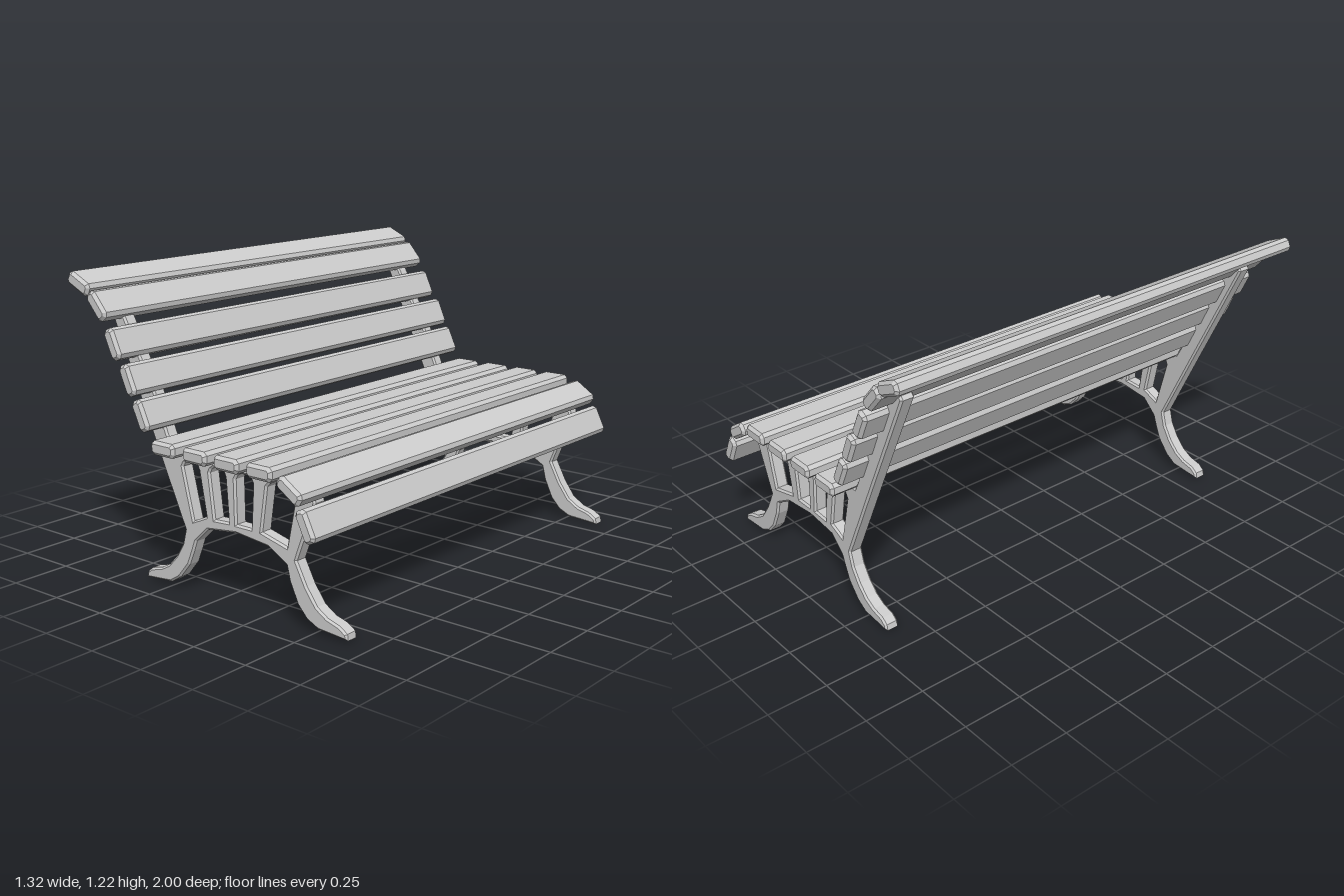
import * as THREE from 'three';

const material = new THREE.MeshStandardMaterial({ color: 0xcccccc, flatShading: true });
const toPoints = (list) => list.map(([x, y]) => new THREE.Vector2(x, y));

// Extrudes a shape along z, centred, with a chamfer kept inside the outline
function chamferedExtrude(shape, depth, chamfer) {
  const geometry = new THREE.ExtrudeGeometry(shape, {
    depth: depth - 2 * chamfer,
    bevelEnabled: true,
    bevelThickness: chamfer,
    bevelSize: chamfer,
    bevelOffset: -chamfer,
    bevelSegments: 1,
  });
  geometry.translate(0, 0, -depth / 2 + chamfer);
  return geometry;
}

// Plank running along z with all edges cut
function slatGeometry() {
  const w = 0.0625, t = 0.028, c = 0.014;
  const shape = new THREE.Shape(toPoints([
    [-w + c, -t], [w - c, -t], [w, -t + c], [w, t - c],
    [w - c, t], [-w + c, t], [-w, t - c], [-w, -t + c],
  ]));
  return chamferedExtrude(shape, 2, 0.012);
}

// Arched opening between the uprights: top left/right x, bottom left/right corners
function opening(tl, tr, bl, br) {
  const top = 0.522, side = 0.497, r = (tr - tl) * 0.27;
  return new THREE.Path(toPoints([
    bl, [tl, side], [tl + r * 0.35, top - 0.01], [tl + r, top],
    [tr - r, top], [tr - r * 0.35, top - 0.01], [tr, side], br,
  ]));
}

// Cast side frame: back stile, curved legs and arched openings
function frameGeometry() {
  const shape = new THREE.Shape(toPoints([
    // back edge of the stile
    [-0.525, 1.085], [-0.537, 1.07], [-0.312, 0.59], [-0.153, 0.247],
    // rear leg
    [-0.17, 0.185], [-0.206, 0.128], [-0.249, 0.083], [-0.295, 0.058], [-0.35, 0.045],
    [-0.375, 0.025], [-0.38, 0], [-0.24, 0.012], [-0.19, 0.043], [-0.136, 0.107],
    [-0.11, 0.167], [-0.094, 0.21],
    // lower arch
    [-0.03, 0.27], [0.118, 0.287], [0.28, 0.27], [0.368, 0.22],
    // front leg
    [0.383, 0.16], [0.421, 0.08], [0.464, 0.034], [0.517, 0.009], [0.655, 0],
    [0.652, 0.025], [0.617, 0.047], [0.563, 0.062], [0.513, 0.093], [0.464, 0.16],
    [0.418, 0.247], [0.51, 0.48], [0.5, 0.513], [0.435, 0.567],
    // seat rail and front edge of the stile
    [-0.213, 0.567], [-0.235, 0.61], [-0.3, 0.765], [-0.378, 0.9], [-0.455, 1.04], [-0.49, 1.085],
  ]));
  shape.holes.push(
    opening(-0.155, -0.07, [-0.104, 0.29], [-0.037, 0.32]),
    opening(-0.013, 0.068, [0.009, 0.318], [0.08, 0.322]),
    opening(0.12, 0.208, [0.122, 0.322], [0.196, 0.322]),
    opening(0.278, 0.418, [0.25, 0.32], [0.372, 0.29]),
  );
  return chamferedExtrude(shape, 0.06, 0.008);
}

export function createModel() {
  const bench = new THREE.Group();
  bench.name = 'bench';

  const frame = frameGeometry();
  for (const side of [1, -1]) {
    const mesh = new THREE.Mesh(frame, material);
    mesh.name = side > 0 ? 'sideFrameNear' : 'sideFrameFar';
    mesh.position.set(0, side > 0 ? 0.01 : 0, side * 0.865);
    bench.add(mesh);
  }

  // Slats: x, y, tilt in degrees
  const slats = {
    seatSlat: [[-0.157, 0.593, 0], [0.01, 0.593, 0], [0.171, 0.593, 0], [0.333, 0.593, 0],
      [0.475, 0.552, -33], [0.548, 0.436, -64]],
    backSlat: [[-0.273, 0.704, -65], [-0.338, 0.832, -66], [-0.416, 0.961, -65],
      [-0.499, 1.099, -49], [-0.598, 1.176, -25]],
  };
  const slat = slatGeometry();
  for (const [name, rows] of Object.entries(slats)) {
    rows.forEach(([x, y, tilt], i) => {
      const mesh = new THREE.Mesh(slat, material);
      mesh.name = name + (i + 1);
      mesh.position.set(x, y, 0);
      mesh.rotation.z = THREE.MathUtils.degToRad(tilt);
      bench.add(mesh);
    });
  }
  return bench;
}
